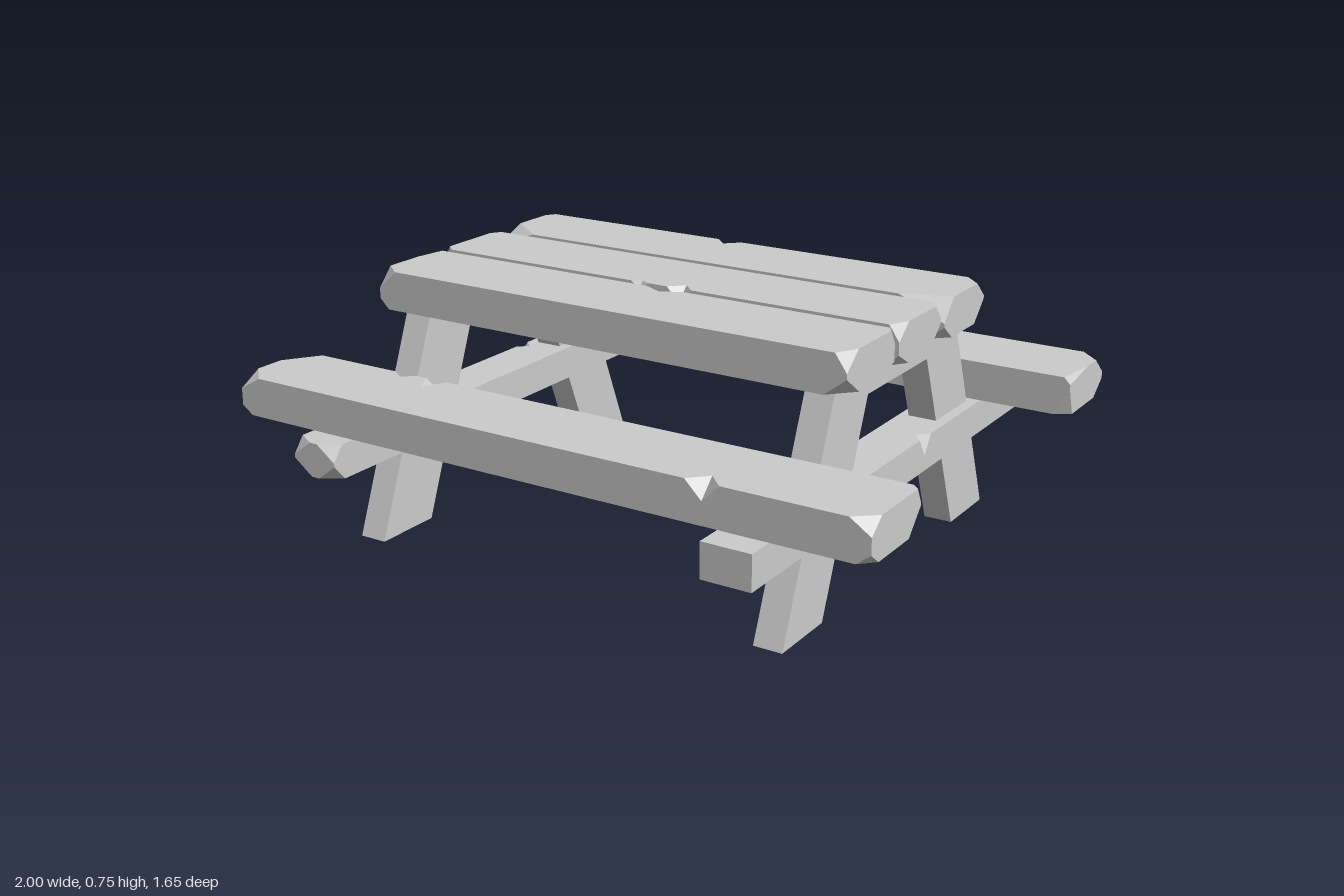
import * as THREE from 'three';

const material = new THREE.MeshStandardMaterial({ color: 0xcccccc, flatShading: true });

// A plank of the given size [x, y, z], long in x, centred on the origin.
// cuts: chipped corners as [dx, dy, dz] (or 0), ordered ---, --+, -+-, -++, +--, +-+, ++-, +++.
// notches: V chips in the long edges, as [sy, sz, x, halfWidth, dy, dz].
function plankGeometry(size, cuts, notches) {
  const half = size.map((v) => v / 2);
  const positions = [];
  const triangle = (a, b, c, flip) => positions.push(...a, ...(flip ? c : b), ...(flip ? b : c));
  const cutOf = (s) => cuts[(s[0] > 0) * 4 + (s[1] > 0) * 2 + (s[2] > 0)];
  const cornerPoint = (s, axis) => {
    const p = s.map((v, i) => v * half[i]);
    const cut = cutOf(s);
    if (cut) p[axis] -= s[axis] * cut[axis];
    return p;
  };
  const notchPoints = ([sy, sz, x, w, dy, dz]) => {
    const y = sy * half[1], z = sz * half[2];
    return {
      start: [x - w, y, z], end: [x + w, y, z],
      1: [x, y, z - sz * dz], 2: [x, y - sy * dy, z],
    };
  };

  // six outer faces, outlined around their chips
  for (let k = 0; k < 3; k++) for (const side of [-1, 1]) {
    const u = (k + 1) % 3, v = (k + 2) % 3;
    const outline = [];
    [[-1, -1], [1, -1], [1, 1], [-1, 1]].forEach(([su, sv], i) => {
      const s = [0, 0, 0];
      s[k] = side; s[u] = su; s[v] = sv;
      const incoming = i % 2 ? u : v, outgoing = i % 2 ? v : u;
      if (cutOf(s)) outline.push(cornerPoint(s, incoming));
      outline.push(cornerPoint(s, outgoing));
      if (outgoing !== 0) return;
      const dir = -s[0];
      notches.filter((n) => n[0] === s[1] && n[1] === s[2])
        .sort((a, b) => dir * (a[2] - b[2]))
        .forEach((n) => {
          const p = notchPoints(n);
          outline.push(...(dir > 0 ? [p.start, p[k], p.end] : [p.end, p[k], p.start]));
        });
    });
    const flat = outline.map((p) => new THREE.Vector2(p[u], p[v]));
    for (const [a, b, c] of THREE.ShapeUtils.triangulateShape(flat, [])) {
      triangle(outline[a], outline[b], outline[c], side < 0);
    }
  }

  // chipped corner facets
  for (const x of [-1, 1]) for (const y of [-1, 1]) for (const z of [-1, 1]) {
    const s = [x, y, z];
    if (cutOf(s)) triangle(cornerPoint(s, 0), cornerPoint(s, 1), cornerPoint(s, 2), x * y * z < 0);
  }
  // insides of the notches
  for (const n of notches) {
    const p = notchPoints(n), flip = n[0] * n[1] < 0;
    triangle(p.start, p[2], p[1], flip);
    triangle(p.end, p[1], p[2], flip);
  }

  const geometry = new THREE.BufferGeometry();
  geometry.setAttribute('position', new THREE.Float32BufferAttribute(positions, 3));
  geometry.computeVertexNormals();
  return geometry;
}

export function createModel() {
  const group = new THREE.Group();
  const add = (name, geometry, x, y, z) => {
    const mesh = new THREE.Mesh(geometry, material);
    mesh.name = name;
    mesh.position.set(x, y, z);
    group.add(mesh);
    return mesh;
  };

  // table top
  add('tableTopFront', plankGeometry([1.51, 0.115, 0.265], [
    [0.04, 0.04, 0.04], [0.03, 0.03, 0.05], [0.015, 0.05, 0.09], [0.06, 0.055, 0.05],
    [0.05, 0.025, 0.1], [0.065, 0.05, 0.07], [0.015, 0.04, 0.03], [0.035, 0.05, 0.06],
  ], [[1, -1, 0.05, 0.06, 0.03, 0.03]]), 0, 0.6875, 0.2825);
  add('tableTopMiddle', plankGeometry([1.51, 0.115, 0.255], [
    [0.05, 0.04, 0.06], [0.04, 0.05, 0.05], [0.02, 0.04, 0.03], [0.03, 0.04, 0.03],
    [0.06, 0.06, 0.065], [0.04, 0.035, 0.06], [0.025, 0.045, 0.035], [0.03, 0.045, 0.055],
  ], [[1, 1, -0.05, 0.03, 0.02, 0.015], [1, 1, 0.08, 0.04, 0.04, 0.04]]), 0, 0.6875, -0.0025);
  add('tableTopBack', plankGeometry([1.51, 0.115, 0.26], [
    [0.06, 0.05, 0.06], [0.04, 0.04, 0.05], [0.02, 0.04, 0.03], [0.125, 0.04, 0.1],
    [0.06, 0.06, 0.06], [0.05, 0.04, 0.05], [0.05, 0.045, 0.05], [0.14, 0.065, 0.055],
  ], [[1, -1, -0.08, 0.04, 0.04, 0.04]]), 0, 0.6875, -0.285);

  // benches
  add('benchFront', plankGeometry([2, 0.115, 0.26], [
    [0.06, 0.05, 0.06], [0.035, 0.025, 0.05], [0.07, 0.05, 0.1], [0.07, 0.04, 0.07],
    [0.06, 0.065, 0.06], [0.04, 0.03, 0.04], [0.02, 0.04, 0.02], [0.06, 0.04, 0.05],
  ], [
    [1, 1, 0.54, 0.05, 0.05, 0.05],
    [1, -1, -0.61, 0.04, 0.03, 0.03], [1, -1, -0.5, 0.035, 0.025, 0.07],
  ]), 0, 0.4175, 0.615);
  add('benchBack', plankGeometry([2, 0.115, 0.26], [
    [0.06, 0.05, 0.06], [0.06, 0.04, 0.05], [0.03, 0.045, 0.03], [0.18, 0.06, 0.06],
    [0.06, 0.045, 0.06], [0.05, 0.08, 0.03], [0.06, 0.05, 0.06], [0.02, 0.02, 0.13],
  ], [
    [1, -1, 0, 0.035, 0.035, 0.04],
    [1, 1, 0.4, 0.045, 0.04, 0.03], [1, 1, 0.5, 0.02, 0.02, 0.02],
  ]), 0, 0.4175, -0.62);

  // cross beams under the benches, turned so their length runs front to back
  const beamSize = [1.65, 0.1, 0.145];
  add('crossBeamRight', plankGeometry(beamSize, [
    [0.04, 0.04, 0.05], [0.04, 0.04, 0.05], [0.03, 0.04, 0.04], [0.06, 0.045, 0.085],
    [0.04, 0.045, 0.06], [0.04, 0.045, 0.06], [0.035, 0.045, 0.06], [0.035, 0.045, 0.06],
  ], [[1, 1, -0.21, 0.03, 0.025, 0.03]]), -0.6575, 0.31, 0).rotation.y = -Math.PI / 2;
  add('crossBeamLeft', plankGeometry(beamSize, [
    [0.015, 0.04, 0.04], 0, [0.04, 0.03, 0.06], 0, 0, 0, 0, 0,
  ], [[1, -1, -0.12, 0.035, 0.055, 0.03]]), 0.6575, 0.31, 0).rotation.y = -Math.PI / 2;

  // splayed leg frames with a bar under the table top
  const side = [[0.4, 0], [0.61, 0], [0.36, 0.63]];
  const inner = [0.178, 0.565];
  const points = [inner, ...side, ...side.slice().reverse().map(([z, y]) => [-z, y]), [-inner[0], inner[1]]];
  const legShape = new THREE.Shape(points.map(([z, y]) => new THREE.Vector2(z, y)));
  const legGeometry = new THREE.ExtrudeGeometry(legShape, { depth: 0.085, bevelEnabled: false });
  legGeometry.translate(0, 0, -0.0425);
  legGeometry.rotateY(-Math.PI / 2);
  add('legFrameLeft', legGeometry, 0.6545, 0, 0);
  add('legFrameRight', legGeometry, -0.6575, 0, 0);

  return group;
}
